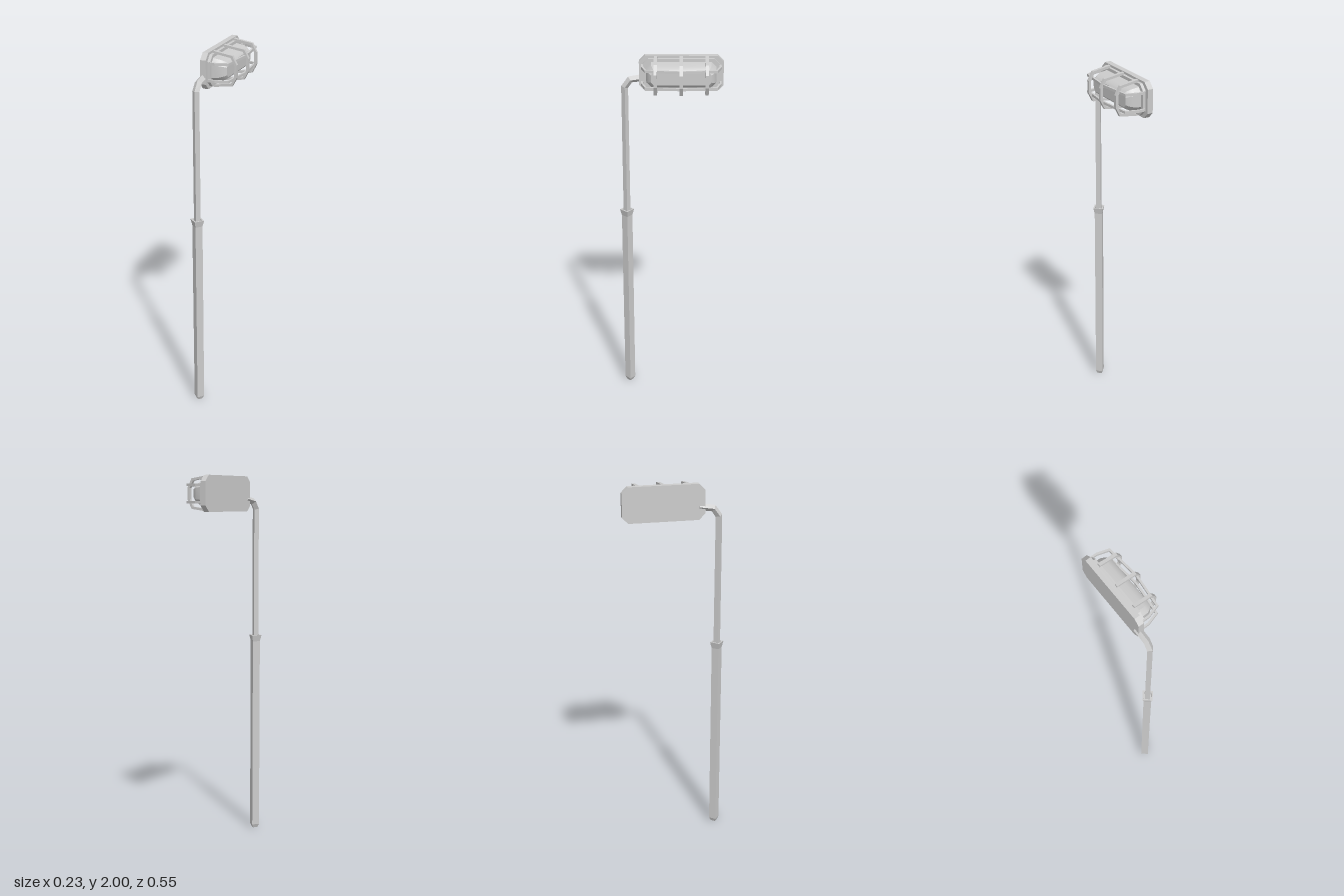
import * as THREE from 'three';
import { toCreasedNormals } from 'three/addons/utils/BufferGeometryUtils.js';

const grey = new THREE.MeshStandardMaterial({ color: 0xcccccc, flatShading: true });
const smooth = new THREE.MeshStandardMaterial({ color: 0xcccccc });

function add(parent, name, geometry, material = grey) {
  const mesh = new THREE.Mesh(geometry, material);
  mesh.name = name;
  parent.add(mesh);
  return mesh;
}

// Skin a row of equal-sized rings and cap both ends
function loft(rings) {
  const v = [];
  const tri = (a, b, c) => v.push(...a.toArray(), ...b.toArray(), ...c.toArray());
  const n = rings[0].length;
  const last = rings[rings.length - 1];
  for (let i = 0; i < n; i++) {
    const j = (i + 1) % n;
    for (let k = 0; k < rings.length - 1; k++) {
      const a = rings[k], b = rings[k + 1];
      tri(a[i], a[j], b[j]);
      tri(a[i], b[j], b[i]);
    }
    if (i > 0 && i < n - 1) {
      tri(rings[0][0], rings[0][j], rings[0][i]);
      tri(last[0], last[i], last[j]);
    }
  }
  const g = new THREE.BufferGeometry();
  g.setAttribute('position', new THREE.Float32BufferAttribute(v, 3));
  g.computeVertexNormals();
  return g;
}

// Corners of a rectangle with cut corners, as [z, y] pairs
function cutRect(hz, hy, c) {
  return [[hz - c, hy], [hz, hy - c], [hz, c - hy], [hz - c, -hy],
    [c - hz, -hy], [-hz, c - hy], [-hz, hy - c], [c - hz, hy]];
}

const toPoints = (list) => list.map(([x, y]) => new THREE.Vector2(x, y));

// Flat plate facing +x, with an optional opening
function plate(outer, depth, hole) {
  const shape = new THREE.Shape(toPoints(outer));
  if (hole) shape.holes.push(new THREE.Path(toPoints(hole)));
  return new THREE.ExtrudeGeometry(shape, { depth, bevelEnabled: false }).rotateY(Math.PI / 2);
}

// Bent flat bar: mirrored outer line, thickened inwards, extruded to a width
function bentBar(half, thickness, width) {
  const pts = toPoints([...half, ...half.filter((p) => p[1] !== 0).reverse().map(([x, y]) => [x, -y])]);
  const normal = (a, b) => new THREE.Vector2(a.y - b.y, b.x - a.x).normalize();
  const inner = pts.map((p, i) => {
    const n1 = normal(pts[Math.max(i - 1, 0)], pts[Math.max(i, 1)]);
    const n2 = normal(pts[Math.min(i, pts.length - 2)], pts[Math.min(i + 1, pts.length - 1)]);
    const m = n1.clone().add(n2).normalize();
    return p.clone().addScaledVector(m, -thickness / m.dot(n1));
  });
  const shape = new THREE.Shape([...pts, ...inner.reverse()]);
  return new THREE.ExtrudeGeometry(shape, { depth: width, bevelEnabled: false }).translate(0, 0, -width / 2);
}

function createModel() {
  const model = new THREE.Group();
  model.name = 'wallLampOnPole';

  // Lower post: square, tapered foot, flared collar with a shallow recess
  const profile = toPoints([[0, 0], [0.018, 0], [0.029, 0.02], [0.029, 1.085],
    [0.039, 1.12], [0.028, 1.12], [0.026, 1.09], [0, 1.09]]);
  add(model, 'lowerPost', new THREE.LatheGeometry(profile, 4)).position.set(-0.07, 0, 0.237);

  // Upper post bending over into the arm
  const path = [[-0.07, 1.085, 0.237], [-0.07, 1.825, 0.237], [-0.066, 1.866, 0.208], [-0.06, 1.878, 0.13]]
    .map((p) => new THREE.Vector3(...p));
  const u = new THREE.Vector3(1, 0, 0);
  const rings = path.map((p, i) => {
    const d1 = path[Math.max(i, 1)].clone().sub(path[Math.max(i, 1) - 1]).normalize();
    const k = Math.min(i, path.length - 2);
    const d = path[k + 1].clone().sub(path[k]).normalize().add(d1).normalize();
    const v = d.cross(u).normalize();
    return [0, 1, 2, 3].map((c) => p.clone()
      .addScaledVector(u, 0.019 * Math.cos(c * Math.PI / 2))
      .addScaledVector(v, 0.019 * Math.sin(c * Math.PI / 2)));
  });
  add(model, 'upperPostAndArm', loft(rings));

  // Lamp head, slightly turned; its local +x points outwards
  const lamp = new THREE.Group();
  lamp.name = 'lampHead';
  lamp.position.set(-0.041, 1.905, -0.057);
  lamp.rotation.y = -0.08;
  model.add(lamp);

  add(lamp, 'backPlate', plate(cutRect(0.219, 0.095, 0.032), 0.031)).position.x = -0.0155;
  add(lamp, 'cageFrame', plate(cutRect(0.2, 0.083, 0.03), 0.016, cutRect(0.184, 0.067, 0.026))).position.x = 0.0155;

  // Lens: stacked cut-corner sections, narrowing outwards
  const sections = [[0.0155, 0.182, 0.063, 0.026], [0.07, 0.179, 0.056, 0.026],
    [0.094, 0.165, 0.046, 0.022], [0.104, 0.155, 0.035, 0.016]];
  const lens = loft(sections.map(([x, hz, hy, c]) =>
    cutRect(hz, hy, c).map(([z, y]) => new THREE.Vector3(x, y, z))));
  add(lamp, 'lens', toCreasedNormals(lens, 0.5), smooth);

  // Cage: three hoops across the lens and two long bars
  for (const [z, reach] of [[-0.132, 0.138], [0, 0.148], [0.132, 0.138]]) {
    const half = [[0.02, -0.082], [reach - 0.02, -0.068], [reach, -0.03]];
    add(lamp, 'cageHoop', bentBar(half, 0.013, 0.017)).position.z = z;
  }
  const barHalf = [[0.02, -0.196], [0.057, -0.196], [0.116, -0.178], [0.135, 0]];
  for (const y of [-0.045, 0.045]) {
    add(lamp, 'cageLongBar', bentBar(barHalf, 0.011, 0.013).rotateX(Math.PI / 2)).position.y = y;
  }
  return model;
}

export { createModel };
